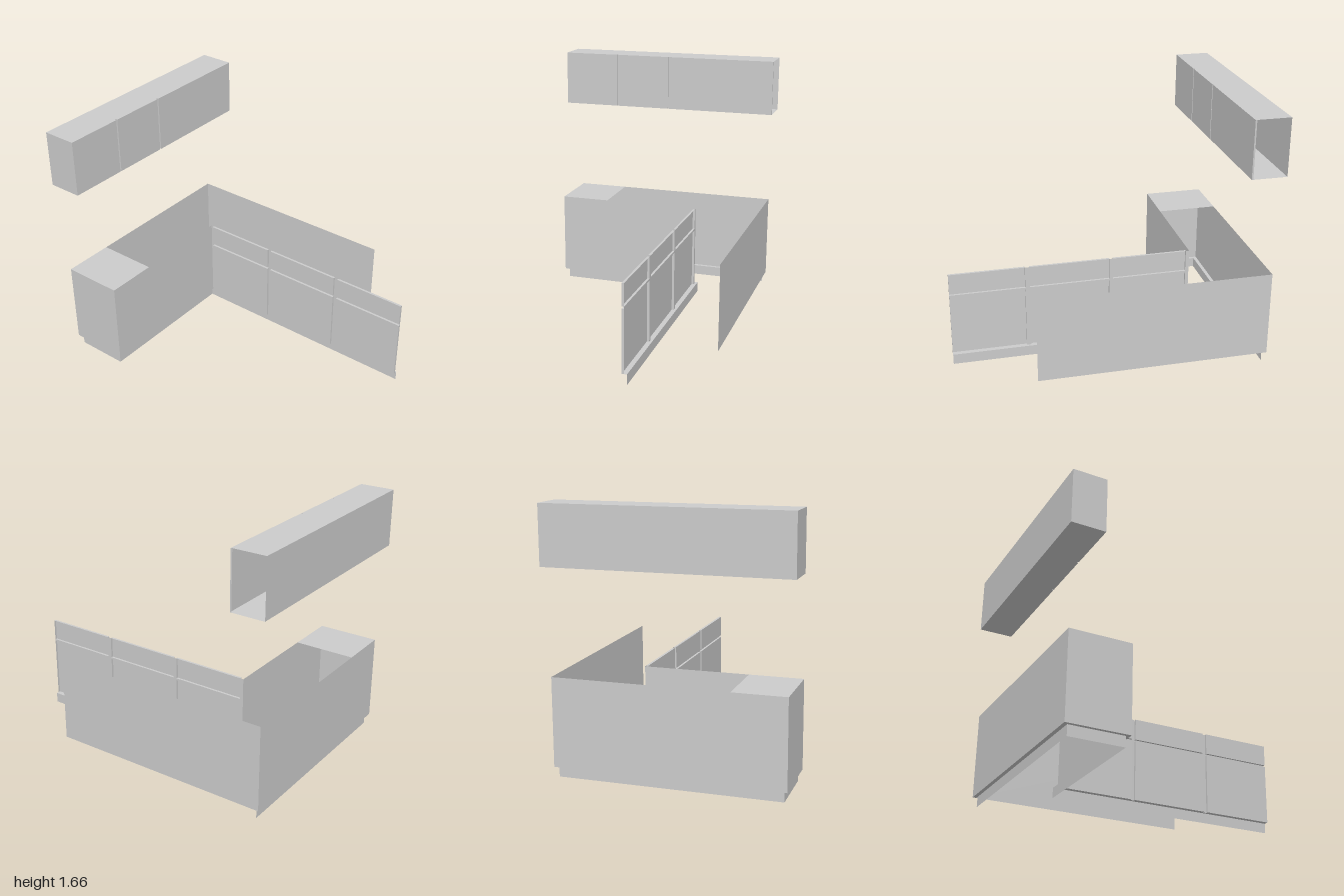
import * as THREE from 'three';

const material = new THREE.MeshStandardMaterial({ color: 0xcccccc, side: THREE.DoubleSide });

// Box made of loose sheets; faces names the sides to build, e.g. '-x +y'
function shell(name, min, max, faces) {
  const positions = [];
  for (const face of faces.split(' ')) {
    const a = 'xyz'.indexOf(face[1]), b = (a + 1) % 3, c = (a + 2) % 3;
    const positive = face[0] === '+';
    const corner = (s, t) => {
      const p = [0, 0, 0];
      p[a] = positive ? max[a] : min[a];
      p[b] = s ? max[b] : min[b];
      p[c] = t ? max[c] : min[c];
      return p;
    };
    const loop = [corner(0, 0), corner(1, 0), corner(1, 1), corner(0, 1)];
    if (!positive) loop.reverse();
    for (const i of [0, 1, 2, 0, 2, 3]) positions.push(...loop[i]);
  }
  const geometry = new THREE.BufferGeometry();
  geometry.setAttribute('position', new THREE.Float32BufferAttribute(positions, 3));
  geometry.computeVertexNormals();
  const mesh = new THREE.Mesh(geometry, material);
  mesh.name = name;
  return mesh;
}

function wallCabinet() {
  const group = new THREE.Group();
  group.name = 'wallCabinet';
  const y0 = 1.293, y1 = 1.663, zBody = -0.785, zDoor = -0.775;

  // Carcass, open at its left end
  group.add(shell('wallCarcass', [-0.762, y0, -1], [0.757, y1, zBody], '-x -y +y -z'));

  // Hollow doors and the narrow strips between them
  const doors = [[-0.762, -0.379], [-0.369, 0.006], [0.016, 0.757]];
  doors.forEach(([x0, x1], i) => {
    group.add(shell('wallDoor', [x0, y0, zBody], [x1, y1, zDoor], '-x +x -y +y +z'));
    if (i < doors.length - 1) {
      group.add(shell('wallDoorGap', [x1, y0, zBody], [doors[i + 1][0], y1, zBody], '+z'));
    }
  });
  return group;
}

function baseCabinet() {
  const group = new THREE.Group();
  group.name = 'baseCabinet';
  const y0 = 0.068, y1 = 0.63;
  const add = (...args) => group.add(shell(...args));

  // Outer walls
  add('backAndSideWalls', [-0.722, y0, -0.97], [0.722, y1, -0.57], '-x -z');
  add('longOuterWall', [0.722, y0, -0.97], [0.722, y1, 0.523], '+x');
  add('innerFrontWall', [-0.722, y0, -0.57], [0.28, y1, -0.57], '+z');
  add('cornerTop', [-0.722, y1, -0.97], [-0.385, y1, -0.57], '+y');

  // Toe kick set in behind the walls
  add('backKick', [-0.7, 0, -0.945], [0.7, y0, -0.945], '-z');
  add('sideKick', [-0.7, 0, -0.945], [-0.7, y0, -0.595], '-x');
  add('frontKick', [-0.7, 0, -0.595], [0.297, y0, -0.595], '+z');
  add('drawerKick', [0.297, 0, -0.595], [0.297, y0, 1], '-x');

  // Ledges joining walls and toe kick
  add('backLedge', [-0.722, y0, -0.97], [0.722, y0, -0.945], '-y');
  add('sideLedge', [-0.722, y0, -0.945], [-0.7, y0, -0.595], '-y');
  add('frontLedge', [-0.722, y0, -0.595], [0.297, y0, -0.57], '-y');
  add('drawerLedge', [0.28, y0, -0.57], [0.297, y0, 1], '-y');
  return group;
}

function drawerRun() {
  const group = new THREE.Group();
  group.name = 'drawerRun';
  const xFront = 0.265, xBack = 0.28;
  const columns = [[-0.548, -0.058], [-0.034, 0.488], [0.516, 1]];
  const rows = [[0.068, 0.474], [0.487, 0.63]];
  let previous = -0.57;

  for (const [z0, z1] of columns) {
    // Upright strip before each column, cross strip between door and drawer
    group.add(shell('uprightGap', [xBack, 0.068, previous], [xBack, 0.63, z0], '-x'));
    group.add(shell('crossGap', [xBack, rows[0][1], z0], [xBack, rows[1][0], z1], '-x'));
    // Hollow fronts, open at the back
    rows.forEach(([y0, y1], i) => {
      const name = i ? 'drawerFront' : 'doorFront';
      group.add(shell(name, [xFront, y0, z0], [xBack, y1, z1], '-x -y +y -z +z'));
    });
    previous = z1;
  }
  return group;
}

export function createModel() {
  const model = new THREE.Group();
  model.name = 'kitchenCabinets';
  model.add(wallCabinet(), baseCabinet(), drawerRun());
  return model;
}
